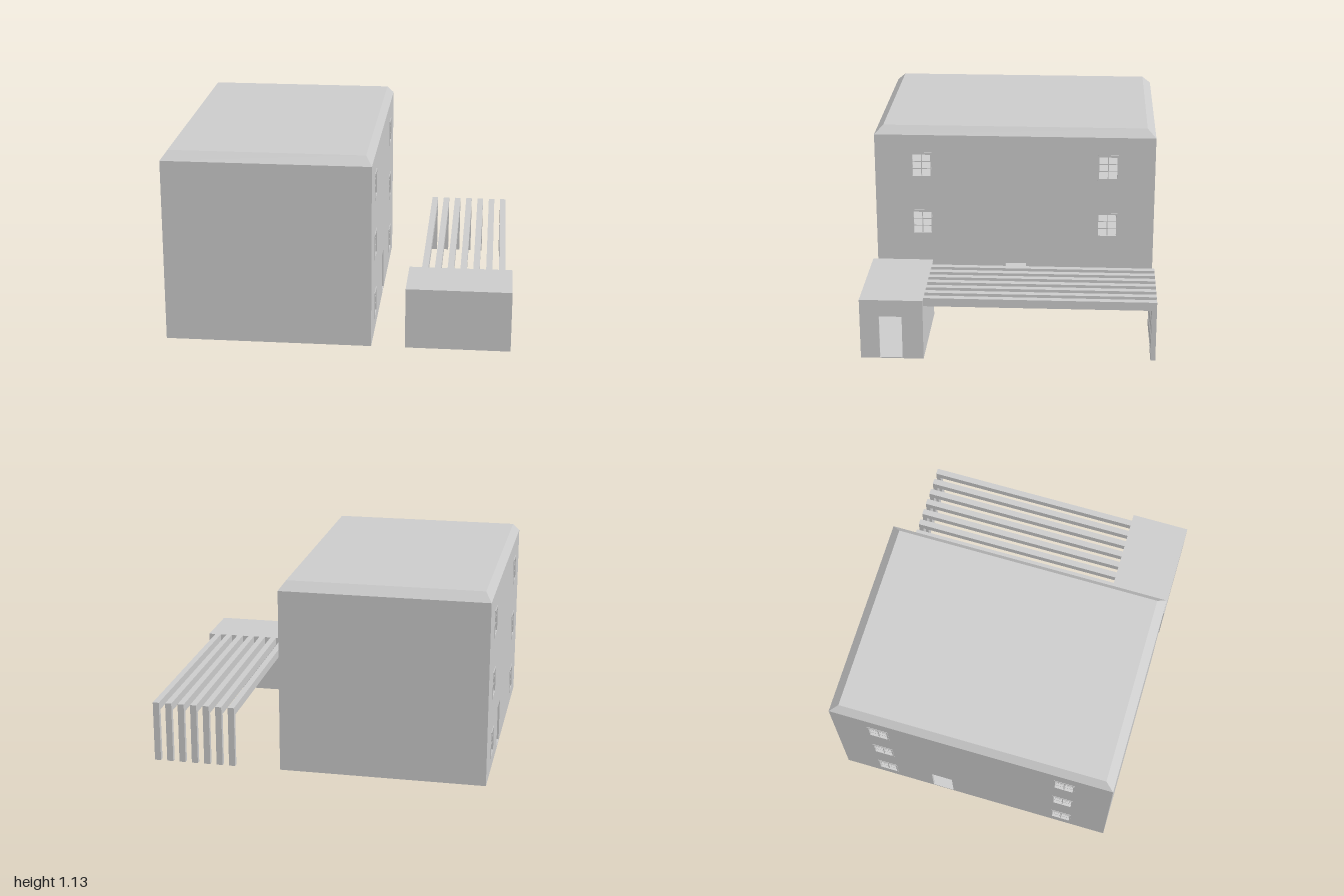
import * as THREE from 'three';

const material = new THREE.MeshStandardMaterial({ color: 0xcccccc, flatShading: true });

function add(parent, name, geometry) {
  const mesh = new THREE.Mesh(geometry, material);
  mesh.name = name;
  parent.add(mesh);
  return mesh;
}

// Box given by its min and max corners
function block(parent, name, x0, x1, y0, y1, z0, z1) {
  const g = new THREE.BoxGeometry(x1 - x0, y1 - y0, z1 - z0);
  return add(parent, name, g.translate((x0 + x1) / 2, (y0 + y1) / 2, (z0 + z1) / 2));
}

// Panel in the z-y plane with rectangular holes [z0, z1, y0, y1], from x0 to x0 + depth
function panel(parent, name, x0, depth, [z0, z1, y0, y1], holes) {
  const trace = (path, a, b, c, d) => path.moveTo(a, c).lineTo(b, c).lineTo(b, d).lineTo(a, d).closePath();
  const shape = new THREE.Shape();
  trace(shape, z0, z1, y0, y1);
  for (const h of holes) {
    const hole = new THREE.Path();
    trace(hole, ...h);
    shape.holes.push(hole);
  }
  const g = new THREE.ExtrudeGeometry(shape, { depth, bevelEnabled: false });
  return add(parent, name, g.rotateY(-Math.PI / 2).translate(x0 + depth, 0, 0));
}

const X0 = -0.997, X1 = 0.2, Z = 0.84, WALL_TOP = 1.08, STOREY = 0.36, T = 0.015;
const WIN_W = 0.054, WIN_H = 0.0675;
const windowSpots = [];
for (let floor = 0; floor < 3; floor++)
  for (const z of [-0.56, 0.56]) windowSpots.push([z, 0.158 + floor * 0.366]);

// Window frame with two by three panes
function addWindow(parent, x0, z, y) {
  const win = new THREE.Group();
  win.name = 'window';
  parent.add(win);
  const depth = T + 0.003;
  panel(win, 'windowFrame', x0, depth,
    [z - 0.062, z + 0.062, y - 0.08, y + 0.08],
    [[z - WIN_W, z + WIN_W, y - WIN_H, y + WIN_H]]);
  const xm = x0 + depth / 2, b = 0.0025;
  block(win, 'mullion', xm - 0.004, xm + 0.004, y - WIN_H, y + WIN_H, z - b, z + b);
  for (const s of [-1, 1]) {
    const yb = y + s * WIN_H / 3;
    block(win, 'glazingBar', xm - 0.003, xm + 0.003, yb - b, yb + b, z - WIN_W, z + WIN_W);
  }
}

function createHouse() {
  const house = new THREE.Group();
  house.name = 'house';
  const openings = windowSpots.map(([z, y]) => [z - 0.058, z + 0.058, y - 0.074, y + 0.074]);

  // Side walls, each with six windows and a door opening
  const outline = [-Z, Z, 0, WALL_TOP];
  panel(house, 'leftWall', X1 - T, T, outline, [...openings, [-0.07, 0.055, 0.01, 0.265]]);
  panel(house, 'rightWall', X0, T, outline, [...openings, [-0.27, -0.14, 0.01, 0.265]]);
  for (const [z, y] of windowSpots) {
    addWindow(house, X1 - T, z, y);
    addWindow(house, X0 - 0.003, z, y);
  }

  // Blank end walls
  block(house, 'frontWall', X0 + T, X1 - T, 0, WALL_TOP, Z - T, Z);
  block(house, 'backWall', X0 + T, X1 - T, 0, WALL_TOP, -Z, T - Z);

  // Storey floors
  for (let i = 0; i < 3; i++)
    block(house, 'floor', X0 + T, X1 - T, i * STOREY, i * STOREY + 0.01, T - Z, Z - T);

  // Flat roof with chamfered edges: the upper corners of a box drawn inwards
  const roof = block(house, 'roof', X0, X1, WALL_TOP, 1.13, -Z, Z);
  const p = roof.geometry.attributes.position;
  for (let i = 0; i < p.count; i++) {
    if (p.getY(i) < 1.1) continue;
    p.setX(i, p.getX(i) - Math.sign(p.getX(i)) * 0.037);
    p.setZ(i, p.getZ(i) - Math.sign(p.getZ(i)) * 0.052);
  }
  roof.geometry.computeVertexNormals();
  return house;
}

function createShed() {
  const shed = new THREE.Group();
  shed.name = 'shed';
  const x0 = 0.395, x1 = 1, z0 = 0.48, z1 = 0.84, h = STOREY, t = 0.012;
  panel(shed, 'shedDoorWall', x1 - t, t, [z0, z1, 0, h], [[0.6, 0.73, 0.006, 0.26]]);
  block(shed, 'shedInnerWall', x0, x0 + t, 0, h, z0, z1);
  block(shed, 'shedFrontWall', x0 + t, x1 - t, 0, h, z1 - t, z1);
  block(shed, 'shedBackWall', x0 + t, x1 - t, 0, h, z0, z0 + t);
  block(shed, 'shedFloor', x0 + t, x1 - t, 0, 0.006, z0 + t, z1 - t);
  block(shed, 'shedRoof', x0 + t, x1 - t, h - t, h, z0 + t, z1 - t);
  return shed;
}

// Seven beams running back from the shed, each turning down into a post
function createPergola() {
  const pergola = new THREE.Group();
  pergola.name = 'pergola';
  for (let i = 0; i < 7; i++) {
    const x = 0.488 + i * 0.0753, w = 0.0185;
    block(pergola, 'beam', x - w, x + w, 0.31, STOREY, -Z, 0.48);
    block(pergola, 'post', x - w, x + w, 0, 0.31, -Z, -0.812);
  }
  return pergola;
}

export function createModel() {
  const model = new THREE.Group();
  model.name = 'houseWithPergola';
  model.add(createHouse(), createShed(), createPergola());
  return model;
}
